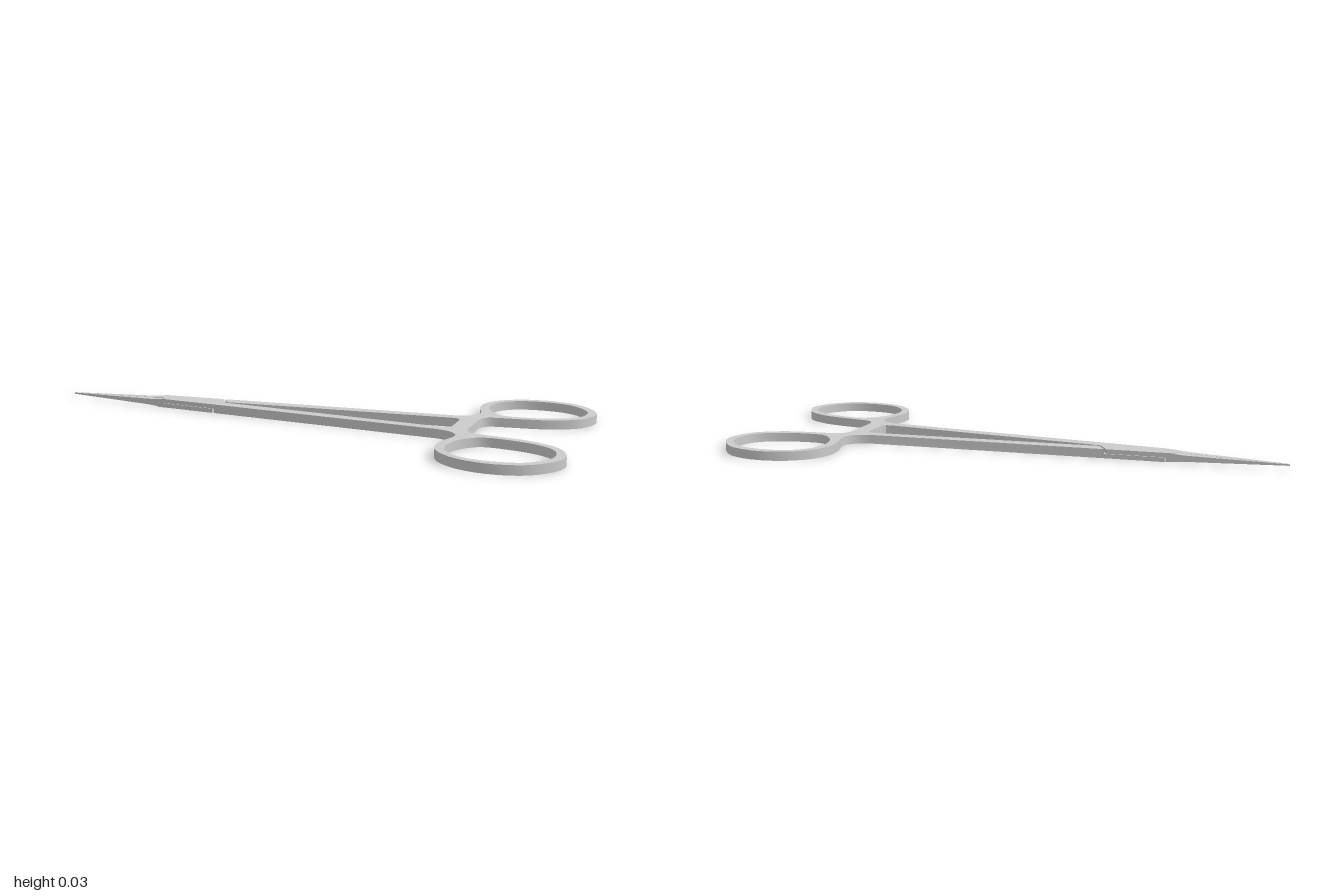
import * as THREE from 'three';
import { toCreasedNormals } from 'three/addons/utils/BufferGeometryUtils.js';

const T = 0.033, MID = T / 2; // full thickness and its middle plane
const material = new THREE.MeshStandardMaterial({ color: 0xcccccc });
const vecs = pts => pts.map(p => new THREE.Vector2(...p));

function addMesh(parent, name, geometry) {
  const mesh = new THREE.Mesh(toCreasedNormals(geometry, 0.6), material);
  mesh.name = name;
  parent.add(mesh);
  return mesh;
}

// Flat plate with its outline in (x, z), filling y0..y1
function plate(shape, y0, y1) {
  const g = new THREE.ExtrudeGeometry(shape, { depth: y1 - y0, bevelEnabled: false, curveSegments: 3 });
  return g.rotateX(Math.PI / 2).translate(0, y1, 0);
}

// Half height of the jaw along its length
function jawHalfHeight(x) {
  return x < -0.65
    ? THREE.MathUtils.mapLinear(x, -1, -0.65, 0.0025, 0.011)
    : THREE.MathUtils.mapLinear(x, -0.65, -0.575, 0.011, MID);
}

function jawPiece(pts) {
  const g = plate(new THREE.Shape(vecs(pts)), 0, T);
  const p = g.attributes.position;
  for (let i = 0; i < p.count; i++) {
    p.setY(i, MID + Math.sign(p.getY(i) - MID) * jawHalfHeight(p.getX(i)));
  }
  return g;
}

// One lever: ring handle and shank at +z, crossing over to the jaw at -z
function createHalf(name) {
  const half = new THREE.Group();
  half.name = name;

  // Shank running into the finger ring
  const shank = new THREE.Shape();
  shank.moveTo(-0.33, 0.005);
  shank.lineTo(0.525, 0.072);
  shank.lineTo(0.55, 0.07);
  shank.lineTo(0.56, 0.055);
  shank.lineTo(0.56, 0.068);
  shank.lineTo(0.622, 0.068);
  shank.splineThru(vecs([
    [0.63, 0.105], [0.66, 0.127], [0.73, 0.137], [0.83, 0.152], [0.9, 0.178], [0.955, 0.215],
    [0.987, 0.27], [0.997, 0.33], [0.965, 0.4], [0.895, 0.462], [0.79, 0.485], [0.69, 0.466],
    [0.62, 0.418], [0.586, 0.365], [0.577, 0.31], [0.584, 0.255], [0.602, 0.2], [0.6, 0.16],
    [0.57, 0.127], [0.53, 0.113],
  ]));
  shank.lineTo(-0.36, 0.05);
  const hole = new THREE.Path();
  const holePoints = new THREE.SplineCurve(vecs([
    [0.608, 0.31], [0.625, 0.38], [0.69, 0.438], [0.79, 0.454], [0.885, 0.435], [0.947, 0.375],
    [0.965, 0.315], [0.945, 0.245], [0.88, 0.198], [0.79, 0.174], [0.7, 0.17], [0.65, 0.205],
    [0.62, 0.255], [0.608, 0.31],
  ])).getPoints(39);
  hole.setFromPoints(holePoints.slice(0, -1));
  shank.holes.push(hole);
  addMesh(half, 'shankAndRing', plate(shank, 0, T));

  // Half-thickness plate crossing the other lever at the box joint
  const joint = [[-0.33, 0.005], [-0.36, 0.05], [-0.575, 0.0355], [-0.61, 0],
    [-0.61, -0.033], [-0.368, -0.0495], [-0.338, -0.004]];
  addMesh(half, 'jointPlate', plate(new THREE.Shape(vecs(joint)), MID + 0.0005, T));

  // Tapering jaw
  const jaw = new THREE.Group();
  jaw.name = 'jaw';
  half.add(jaw);
  addMesh(jaw, 'jawBase', jawPiece([[-0.65, -0.001], [-0.61, -0.001], [-0.58, -0.035], [-0.65, -0.03]]));
  addMesh(jaw, 'jawTip', jawPiece([[-1, -0.0005], [-0.65, -0.001], [-0.65, -0.03], [-1, -0.004]]));

  // Ratchet bar with interlocking teeth, profile in (z, y)
  const bar = [[0.08, 0], [-0.068, 0], [-0.056, MID - 0.001]];
  for (const z of [-0.03, 0, 0.03]) {
    for (const [dz, dy] of [[-0.005, -0.001], [-0.003, 0.005], [0.003, -0.007], [0.005, -0.001]]) {
      bar.push([z + dz, MID + dy]);
    }
  }
  bar.push([0.053, MID - 0.001], [0.06, T], [0.08, T]);
  const barGeometry = new THREE.ExtrudeGeometry(
    new THREE.Shape(vecs(bar.map(([z, y]) => [-z, y]))), { depth: 0.062, bevelEnabled: false });
  addMesh(half, 'ratchetBar', barGeometry.rotateY(Math.PI / 2).translate(0.56, 0, 0));
  return half;
}

export function createModel() {
  const model = new THREE.Group();
  model.name = 'lockingForceps';
  const front = createHalf('frontLever');
  // The second lever is the first turned half a turn about the long axis
  const back = createHalf('backLever');
  back.rotation.x = Math.PI;
  back.position.y = T;
  model.add(front, back);
  return model;
}
